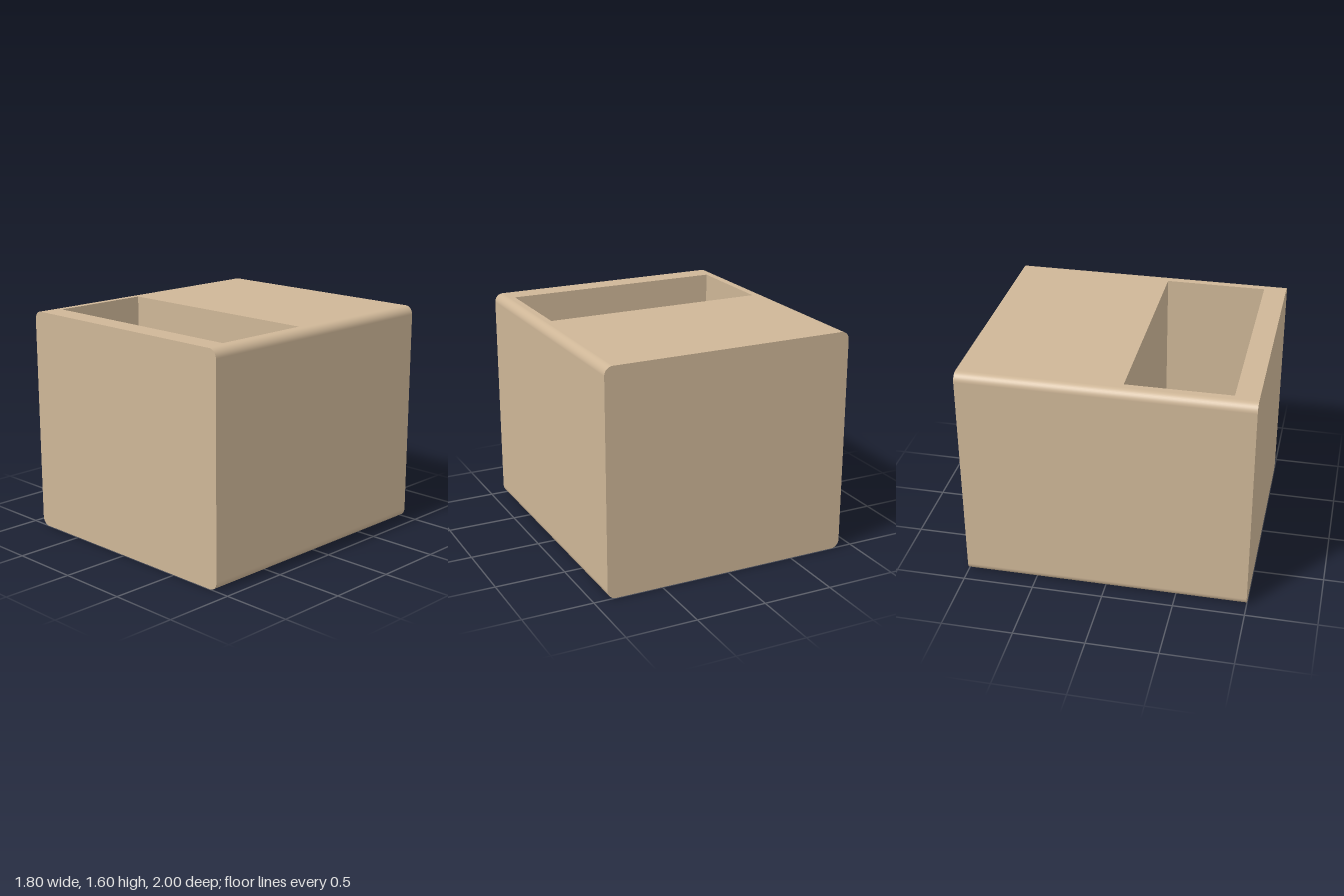
import * as THREE from 'three';
import { mergeGeometries, mergeVertices } from 'three/addons/utils/BufferGeometryUtils.js';

const W = 0.9, H = 1.6, D = 1, R = 0.06; // half width, height, half depth, edge radius
const POCKET = { x: 0.8, z0: 0.12, z1: 0.84, floor: 0.1 };

// Smooth wrap running front to back: sides, base and four rounded edges, open at the flat top
function wrapGeometry(steps = 10) {
  const pos = [], nor = [], idx = [];
  const corners = [[1, 1], [1, 0], [-1, 0], [-1, 1]];
  corners.forEach(([sx, top], c) => {
    for (let i = 0; i <= steps; i++) {
      const a = Math.PI / 2 * (1 - c - i / steps);
      const nx = Math.cos(a), ny = Math.sin(a);
      const x = sx * (W - R) + R * nx, y = (top ? H - R : R) + R * ny;
      pos.push(x, y, D, x, y, -D);
      nor.push(nx, ny, 0, nx, ny, 0);
    }
  });
  for (let k = 0; k < pos.length / 6 - 1; k++) {
    const a = 2 * k;
    idx.push(a, a + 2, a + 3, a, a + 3, a + 1);
  }
  const g = new THREE.BufferGeometry();
  g.setAttribute('position', new THREE.Float32BufferAttribute(pos, 3));
  g.setAttribute('normal', new THREE.Float32BufferAttribute(nor, 3));
  g.setIndex(idx);
  return g;
}

// Rounded end face
function endGeometry() {
  const s = new THREE.Shape();
  s.absarc(W - R, H - R, R, 0, Math.PI / 2);
  s.absarc(-W + R, H - R, R, Math.PI / 2, Math.PI);
  s.absarc(-W + R, R, R, Math.PI, Math.PI * 1.5);
  s.absarc(W - R, R, R, Math.PI * 1.5, Math.PI * 2);
  return new THREE.ShapeGeometry(s, 10);
}

const rect = (x, z0, z1) =>
  [[-x, -z1], [x, -z1], [x, -z0], [-x, -z0]].map(p => new THREE.Vector2(...p));

// Flat top with the pocket opening
function topGeometry() {
  const s = new THREE.Shape(rect(W - R, -D, D));
  s.holes.push(new THREE.Path(rect(POCKET.x, POCKET.z0, POCKET.z1)));
  const g = new THREE.ShapeGeometry(s).rotateX(-Math.PI / 2).translate(0, H, 0);
  g.deleteAttribute('uv');
  return g;
}

// Pocket walls and floor: a box turned inside out with its lid removed
function pocketGeometry() {
  const { x, z0, z1, floor } = POCKET;
  const g = new THREE.BoxGeometry(2 * x, H - floor, z1 - z0).toNonIndexed();
  g.scale(-1, 1, 1); // mirroring reverses the corner order
  g.translate(0, (H + floor) / 2, (z0 + z1) / 2);
  const keep = Array.from(g.attributes.position.array);
  keep.splice(2 * 18, 18);
  const out = new THREE.BufferGeometry();
  out.setAttribute('position', new THREE.Float32BufferAttribute(keep, 3));
  out.computeVertexNormals();
  return out;
}

export function createModel() {
  const tan = new THREE.MeshStandardMaterial({ color: 0xceb697 });
  tan.name = 'tan';
  const group = new THREE.Group();
  group.name = 'pocketBlock';
  const add = (name, geometry) => {
    const mesh = new THREE.Mesh(geometry, tan);
    mesh.name = name;
    group.add(mesh);
  };
  add('shell', mergeVertices(mergeGeometries([wrapGeometry(), topGeometry()])));
  add('frontFace', endGeometry().translate(0, 0, D));
  add('backFace', endGeometry().rotateY(Math.PI).translate(0, 0, -D));
  add('pocket', pocketGeometry());
  return group;
}
